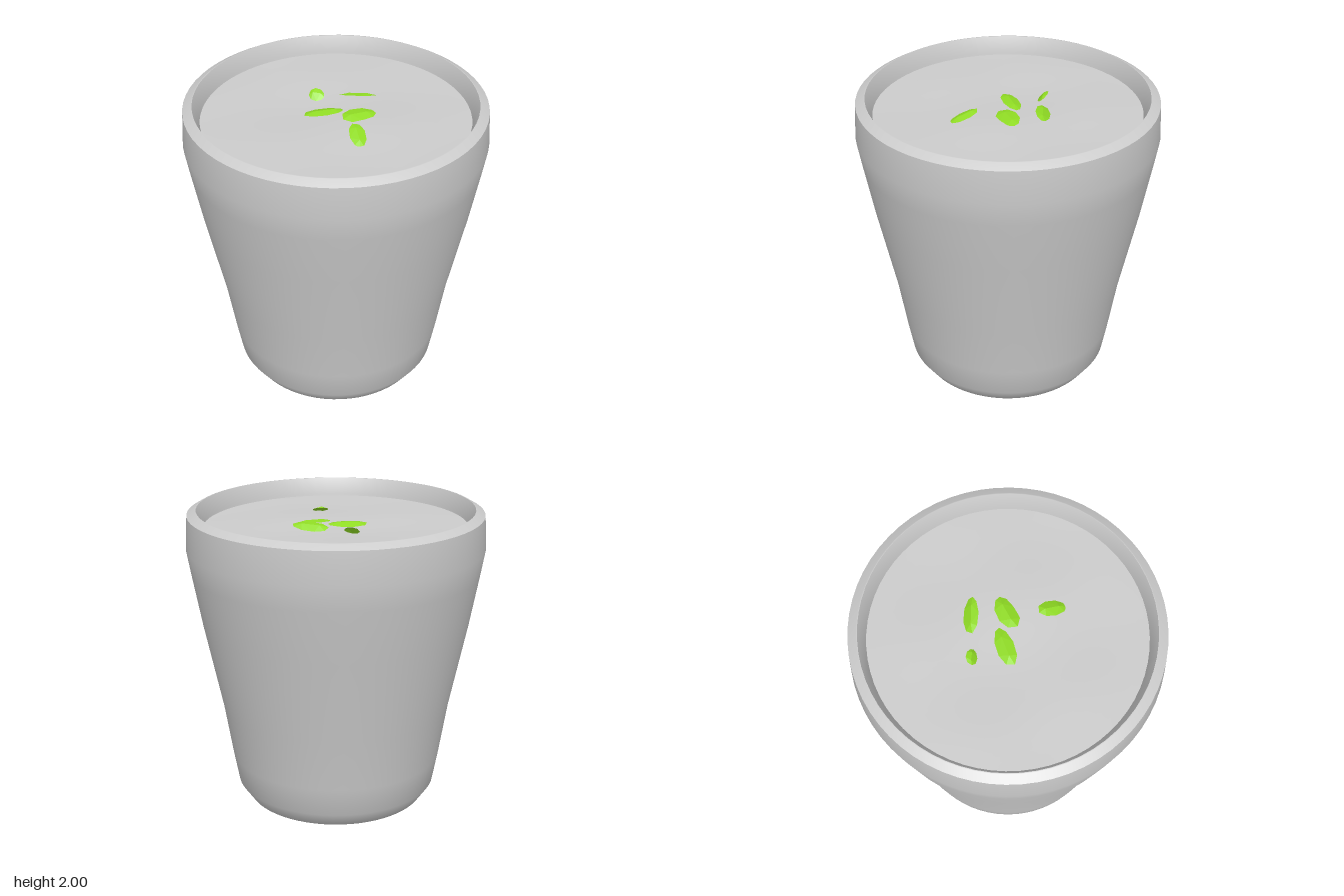
import * as THREE from 'three';

const grey = new THREE.MeshStandardMaterial({ color: 0xcccccc });
const green = new THREE.MeshStandardMaterial({ color: 0x90dc24, flatShading: true, side: THREE.DoubleSide });

// Surface of revolution from [radius, height] pairs
function turned(name, profile) {
  const points = profile.map(([r, y]) => new THREE.Vector2(r, y));
  const mesh = new THREE.Mesh(new THREE.LatheGeometry(points, 64), grey);
  mesh.name = name;
  return mesh;
}

// Height of the gently rippled liquid surface
const liquidHeight = (x, z) => {
  const fade = Math.max(0, 1 - (x * x + z * z) / 0.7);
  return 1.885 + 0.012 * fade * Math.sin(5 * x + 2 * z) * Math.cos(5 * z - 2 * x);
};

function makeLiquid() {
  const geometry = new THREE.RingGeometry(0.001, 0.84, 64, 14).rotateX(-Math.PI / 2);
  const p = geometry.attributes.position;
  for (let i = 0; i < p.count; i++) p.setY(i, liquidHeight(p.getX(i), p.getZ(i)));
  geometry.computeVertexNormals();
  const mesh = new THREE.Mesh(geometry, grey);
  mesh.name = 'liquid';
  return mesh;
}

// Faceted leaf: outline in length and width fractions, joined to a raised midrib
const outline = [[-0.5, 0.12], [-0.3, 0.42], [0.05, 0.5], [0.36, 0.34], [0.5, 0.08],
  [0.45, -0.18], [0.2, -0.45], [-0.15, -0.5], [-0.42, -0.3]];
const ribEnds = [-0.25, 0.25];

function makeLeaf({ x, y, z, length, width, turn, slopeX, slopeZ }) {
  const c = Math.cos(turn), s = Math.sin(turn);
  const place = (u, v, lift) => {
    const dx = u * length * c - v * width * s;
    const dz = u * length * s + v * width * c;
    return [x + dx, y + slopeX * dx + slopeZ * dz + lift, z + dz];
  };
  const rib = ribEnds.map(u => place(u, 0, 0.014));
  const positions = [];
  outline.forEach(([u, v], i) => {
    const [u2, v2] = outline[(i + 1) % outline.length];
    const a = place(u, v, 0), b = place(u2, v2, 0);
    const near = u < 0.03 ? 0 : 1, next = u2 < 0.03 ? 0 : 1;
    positions.push(...a, ...b, ...rib[near]);
    if (near !== next) positions.push(...b, ...rib[next], ...rib[near]);
  });
  const geometry = new THREE.BufferGeometry();
  geometry.setAttribute('position', new THREE.Float32BufferAttribute(positions, 3));
  geometry.computeVertexNormals();
  const mesh = new THREE.Mesh(geometry, green);
  mesh.name = 'leaf';
  return mesh;
}

export function createModel() {
  const model = new THREE.Group();
  model.name = 'cup';

  // Rounded foot and flared outer wall
  model.add(turned('outerWall', [
    [0, 0], [0.3, 0.002], [0.38, 0.007], [0.48, 0.025], [0.58, 0.07], [0.65, 0.17],
    [0.685, 0.36], [0.74, 0.7], [0.855, 1.25], [0.92, 1.6], [0.948, 1.76], [0.937, 1.97],
  ]));

  // Bevelled lip
  model.add(turned('rim', [[0.937, 1.97], [0.885, 2], [0.878, 2]]));

  // Inner wall, running below the liquid to the inside floor
  model.add(turned('innerWall', [
    [0.878, 2], [0.838, 1.9], [0.82, 1.7], [0.64, 0.7], [0.56, 0.2], [0.4, 0.12], [0, 0.1],
  ]));

  model.add(makeLiquid());

  // Floating leaves
  const leaves = new THREE.Group();
  leaves.name = 'leaves';
  [
    { x: -0.15, y: 1.91, z: -0.21, length: 0.1, width: 0.065, turn: 0.1, slopeX: 0.05, slopeZ: -0.85 },
    { x: 0.11, y: 1.922, z: -0.22, length: 0.23, width: 0.09, turn: 0, slopeX: 0.05, slopeZ: 0.4 },
    { x: -0.08, y: 1.9, z: -0.015, length: 0.25, width: 0.11, turn: -0.38, slopeX: 0.05, slopeZ: 0.1 },
    { x: 0.14, y: 1.9, z: -0.01, length: 0.22, width: 0.13, turn: -0.5, slopeX: -0.08, slopeZ: -0.12 },
    { x: 0.165, y: 1.915, z: 0.26, length: 0.18, width: 0.1, turn: 1.2, slopeX: -0.1, slopeZ: -0.35 },
  ].forEach(spec => leaves.add(makeLeaf(spec)));
  model.add(leaves);

  return model;
}
